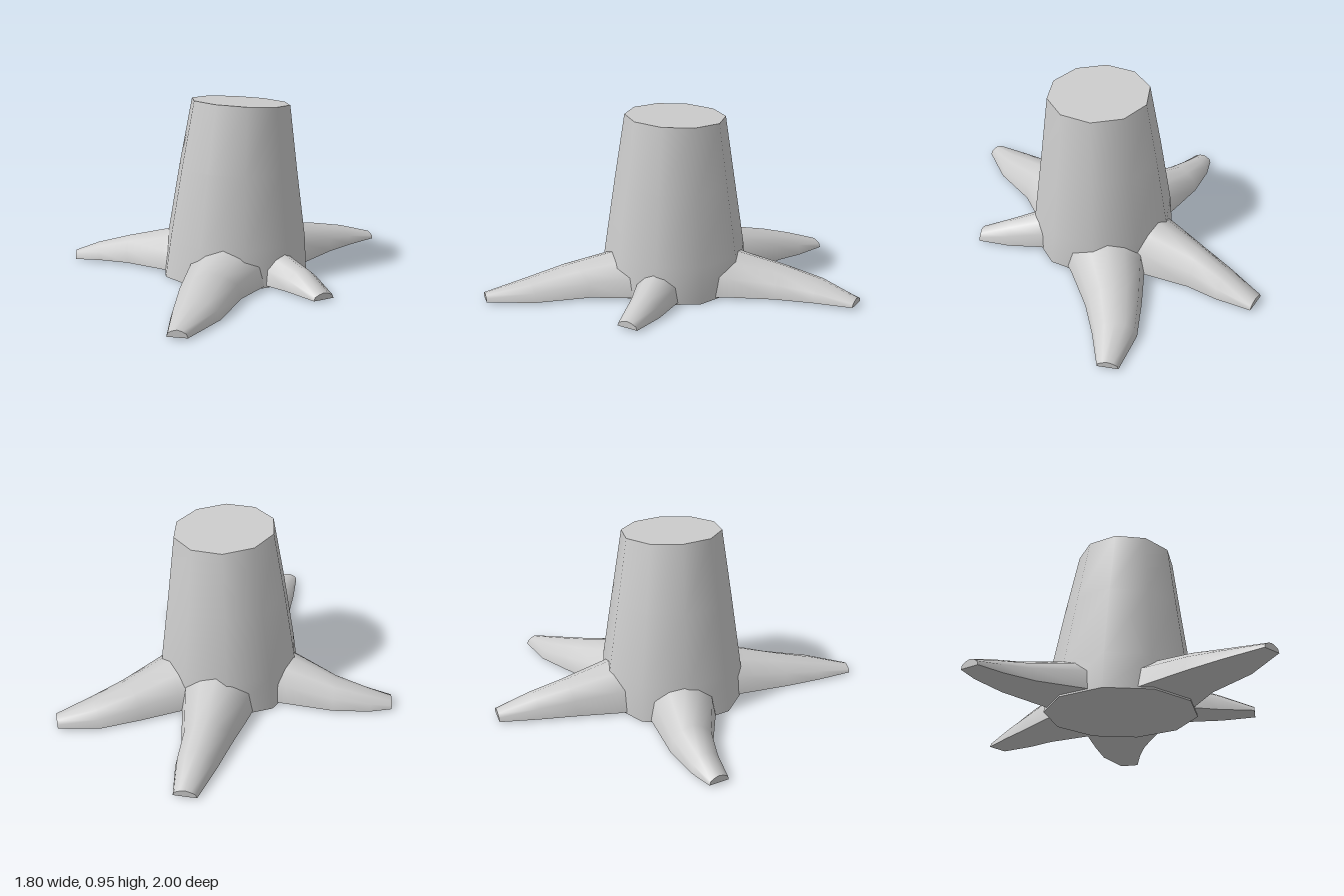
import * as THREE from 'three';

const material = new THREE.MeshStandardMaterial({ color: 0xcccccc });

// Smooth skin through rings of points, with flat caps that keep sharp rims.
// capped: extra outlines, each filled as a fan with its own vertices.
function loft(name, rings, closed, caps) {
  const pos = [], index = [], n = rings[0].length;
  rings.forEach((ring) => ring.forEach((p) => pos.push(...p)));
  const last = closed ? n : n - 1;
  for (let i = 0; i < rings.length - 1; i++) {
    for (let j = 0; j < last; j++) {
      const k = (j + 1) % n;
      const a = i * n + j, b = i * n + k, c = a + n, d = b + n;
      index.push(a, c, b, b, c, d);
    }
  }
  for (const cap of caps) {
    const start = pos.length / 3;
    cap.forEach((p) => pos.push(...p));
    for (let j = 1; j < cap.length - 1; j++) index.push(start, start + j, start + j + 1);
  }
  const geometry = new THREE.BufferGeometry();
  geometry.setAttribute('position', new THREE.Float32BufferAttribute(pos, 3));
  geometry.setIndex(index);
  geometry.computeVertexNormals();
  const mesh = new THREE.Mesh(geometry, material);
  mesh.name = name;
  return mesh;
}

// Ten-sided tapering trunk with a slanted cut; rows: y, centre x, centre z, radius, slant
function makeTrunk() {
  const rows = [
    [0, 0, -0.01, 0.405, 0],
    [0.2, 0.01, -0.015, 0.385, 0],
    [0.58, 0.02, -0.008, 0.325, -0.02],
    [0.93, 0.035, 0, 0.268, -0.058],
  ];
  const rings = rows.map(([y, cx, cz, r, slant]) =>
    Array.from({ length: 10 }, (_, i) => {
      const t = (i / 10) * Math.PI * 2 + 0.26;
      const x = Math.cos(t) * r;
      return [cx + x, y + slant * x, cz + Math.sin(t) * r];
    }));
  const top = [...rings[rings.length - 1]].reverse();
  return loft('trunk', rings, true, [rings[0], top]);
}

// Arched root section: [position across, share of the height]
const ARCH = [[0, 0], [0.06, 0.52], [0.27, 0.83], [0.5, 1], [0.73, 0.83], [0.94, 0.52], [1, 0]];
const GROUND = 0.01;

// Each section: right edge x, z, left edge x, z, ridge height (from trunk outwards)
function makeRoot(name, sections) {
  const rings = sections.map(([ax, az, bx, bz, h]) =>
    ARCH.map(([t, v]) => [ax + (bx - ax) * t, GROUND + (h - GROUND) * v, az + (bz - az) * t]));
  const underside = [];
  for (let i = 0; i < rings.length - 1; i++) {
    const p = rings[i], q = rings[i + 1], e = ARCH.length - 1;
    underside.push([p[0], p[e], q[e], q[0]]);
  }
  const tip = [...rings[rings.length - 1]].reverse();
  return loft(name, rings, false, [...underside, tip]);
}

const ROOTS = {
  backRoot: [
    [0.25, -0.2, -0.19, -0.2, 0.28],
    [0.235, -0.38, -0.14, -0.4, 0.23],
    [0.2, -0.64, -0.06, -0.62, 0.17],
    [0.21, -0.8, 0.0, -0.8, 0.12],
    [0.195, -0.99, 0.075, -1.0, 0.05],
  ],
  backLeftRoot: [
    [0.33, 0.07, 0.08, -0.33, 0.25],
    [0.41, -0.04, 0.24, -0.4, 0.2],
    [0.59, -0.24, 0.44, -0.49, 0.15],
    [0.74, -0.37, 0.64, -0.57, 0.105],
    [0.9, -0.49, 0.865, -0.59, 0.045],
  ],
  rightRoot: [
    [-0.18, -0.27, -0.22, 0.13, 0.25],
    [-0.32, -0.29, -0.4, 0.04, 0.2],
    [-0.58, -0.325, -0.6, -0.09, 0.14],
    [-0.78, -0.315, -0.76, -0.15, 0.095],
    [-0.9, -0.285, -0.9, -0.18, 0.05],
  ],
  frontRightRoot: [
    [-0.26, 0.14, 0.2, 0.2, 0.25],
    [-0.27, 0.28, 0.13, 0.36, 0.205],
    [-0.32, 0.56, 0.0, 0.53, 0.155],
    [-0.345, 0.76, -0.11, 0.79, 0.1],
    [-0.36, 0.97, -0.265, 0.995, 0.045],
  ],
  frontLeftRoot: [
    [0.06, 0.22, 0.29, 0.09, 0.2],
    [0.14, 0.34, 0.33, 0.21, 0.165],
    [0.24, 0.44, 0.41, 0.37, 0.12],
    [0.355, 0.585, 0.46, 0.54, 0.045],
  ],
};

export function createModel() {
  const model = new THREE.Group();
  model.name = 'treeStump';
  model.add(makeTrunk());
  for (const [name, sections] of Object.entries(ROOTS)) model.add(makeRoot(name, sections));
  return model;
}
